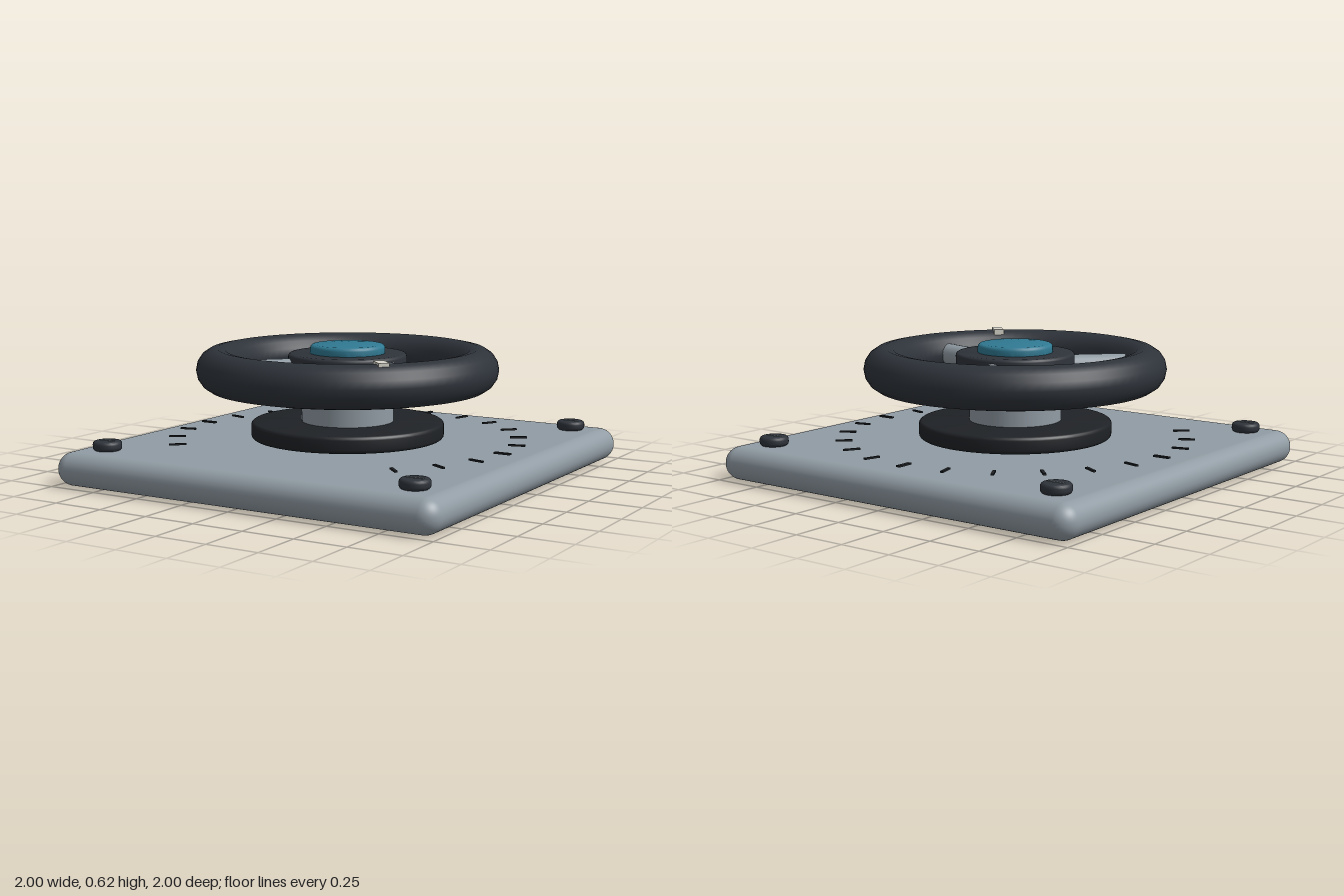
import * as THREE from 'three';
import { toCreasedNormals } from 'three/addons/utils/BufferGeometryUtils.js';
import { RoundedBoxGeometry } from 'three/addons/geometries/RoundedBoxGeometry.js';

const paint = (color) => new THREE.MeshStandardMaterial({ color });
const steel = paint(0x919ca4);
const rubber = paint(0x2e333a);
const black = paint(0x1f2226);
const teal = paint(0x307a93);
const ivory = paint(0xd8d6cc);

// Upright disc with bevelled rims, from y0 to y1
function disc(radius, y0, y1, bevel, segments = 64) {
  const profile = [new THREE.Vector2(0, y0)];
  for (const [yc, start] of [[y0 + bevel, -Math.PI / 2], [y1 - bevel, 0]]) {
    for (let i = 0; i <= 4; i++) {
      const a = start + (i / 4) * Math.PI / 2;
      profile.push(new THREE.Vector2(radius - bevel + bevel * Math.cos(a), yc + bevel * Math.sin(a)));
    }
  }
  profile.push(new THREE.Vector2(0, y1));
  return toCreasedNormals(new THREE.LatheGeometry(profile, segments), 0.6);
}

export function createModel() {
  const model = new THREE.Group();
  model.name = 'handwheelPanel';

  const add = (name, geometry, material, x = 0, y = 0, z = 0, parent = model) => {
    const mesh = new THREE.Mesh(geometry, material);
    mesh.name = name;
    mesh.position.set(x, y, z);
    parent.add(mesh);
    return mesh;
  };

  // Mounting plate, collar and column
  add('plate', new RoundedBoxGeometry(2, 0.16, 2, 5, 0.079), steel, 0, 0.08, 0);
  add('collar', disc(0.465, 0.174, 0.255, 0.018), black);
  add('column', new THREE.CylinderGeometry(0.222, 0.222, 0.32, 48), steel, 0, 0.31, 0);

  // Slotted corner screws
  const screwHead = disc(0.068, 0.16, 0.206, 0.016, 32);
  const slot = new THREE.BoxGeometry(0.08, 0.008, 0.011);
  for (const x of [-0.815, 0.815]) {
    for (const z of [-0.815, 0.815]) {
      add('screw', screwHead, rubber, x, 0, z);
      add('screwSlot', slot, steel, x, 0.205, z);
    }
  }

  // Dial marks every 15 degrees, open toward the front
  const scale = new THREE.Group();
  scale.name = 'dialScale';
  model.add(scale);
  for (let deg = -135; deg <= 135; deg += 15) {
    const a = THREE.MathUtils.degToRad(deg);
    const width = deg % 90 === 0 ? 0.02 : 0.014;
    const tick = add('tick', new THREE.BoxGeometry(width, 0.008, 0.08), black,
      Math.sin(a) * 0.825, 0.173, -Math.cos(a) * 0.825, scale);
    tick.rotation.y = -a;
  }

  // Handwheel: rim, hub, cap, spokes and pointer
  const wheel = new THREE.Group();
  wheel.name = 'handwheel';
  wheel.position.y = 0.508;
  model.add(wheel);
  const rim = new THREE.TorusGeometry(0.623, 0.102, 16, 80).rotateX(Math.PI / 2);
  add('rim', rim, rubber, 0, 0, 0, wheel);
  add('hub', disc(0.285, -0.09, 0.075, 0.015), rubber, 0, 0, 0, wheel);
  add('hubCap', disc(0.18, 0.05, 0.117, 0.018), teal, 0, 0, 0, wheel);

  const spoke = new THREE.CylinderGeometry(0.055, 0.055, 0.38, 24)
    .rotateZ(Math.PI / 2).translate(0.41, 0, 0);
  for (const deg of [15, 135, 255]) {
    add('spoke', spoke, steel, 0, 0, 0, wheel).rotation.y = -THREE.MathUtils.degToRad(deg);
  }

  const pointer = new THREE.BoxGeometry(0.1, 0.03, 0.05).translate(0.615, 0.094, 0);
  add('pointer', pointer, ivory, 0, 0, 0, wheel).rotation.y = -Math.PI / 4;

  return model;
}
